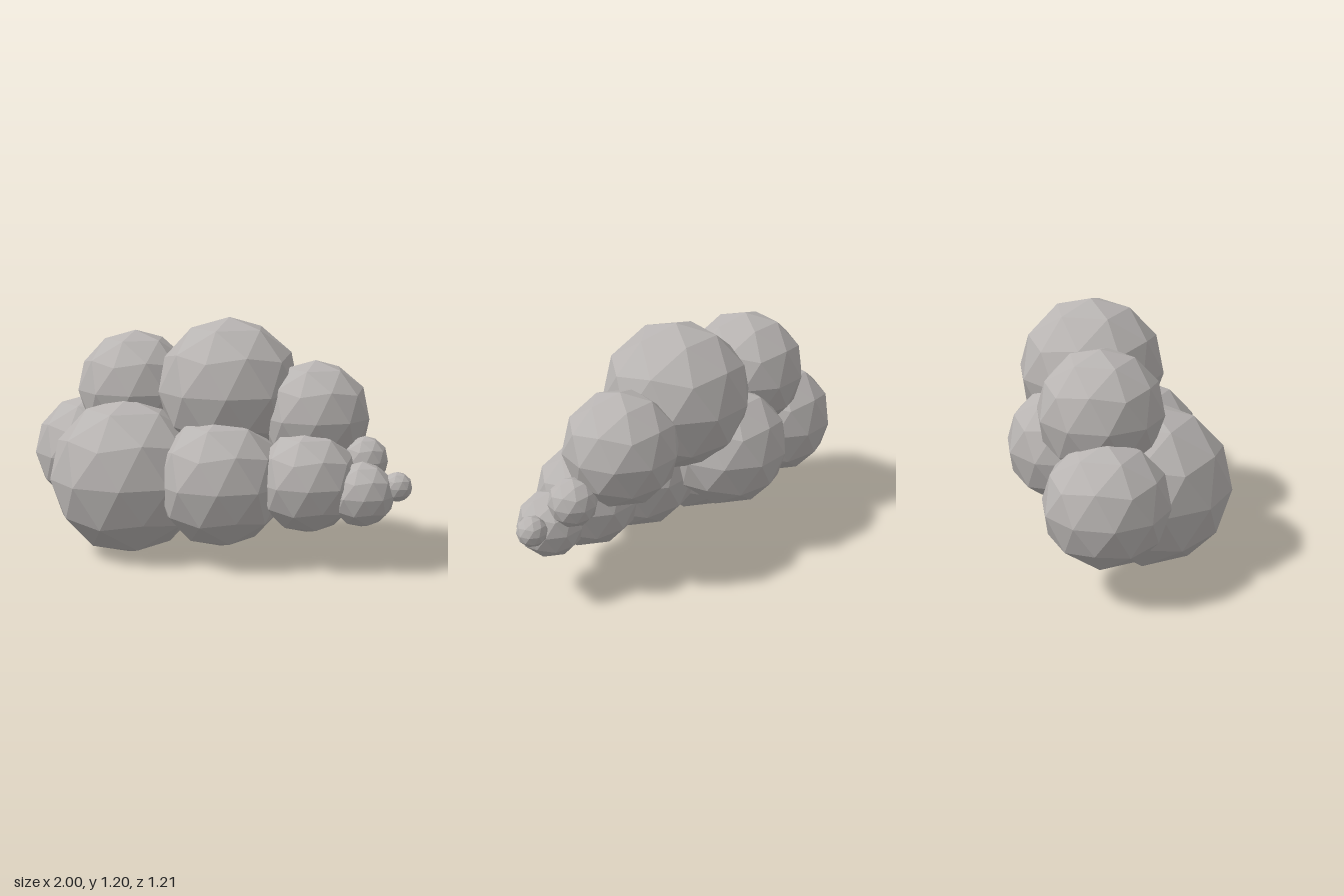
import * as THREE from 'three';

// Low-poly cloud: faceted puffs, each [name, x, y, z, radius]
const PUFFS = [
  ['frontPuff', -0.322, 0.4, 0.205, 0.4],
  ['frontMiddlePuff', 0.157, 0.41, 0.056, 0.327],
  ['frontLeftPuff', 0.537, 0.431, -0.149, 0.255],
  ['rightPuff', -0.714, 0.463, 0.068, 0.301],
  ['topPuff', 0.045, 0.835, -0.153, 0.366],
  ['topRightPuff', -0.459, 0.811, -0.007, 0.304],
  ['topLeftPuff', 0.452, 0.722, -0.326, 0.278],
  ['backPuff', -0.211, 0.536, -0.223, 0.304],
  ['tailPuff', 0.788, 0.386, -0.246, 0.16],
  ['tailUpperPuff', 0.727, 0.53, -0.359, 0.117],
  ['tailTipPuff', 0.928, 0.426, -0.338, 0.073],
];

export function createModel() {
  const cloud = new THREE.Group();
  cloud.name = 'cloud';

  const cloudGrey = new THREE.MeshStandardMaterial({ color: 0xb8b4b2, flatShading: true });
  cloudGrey.name = 'cloudGrey';

  // Unit puff turned so one corner points straight up and the upper ring of corners starts at +x
  const puff = new THREE.IcosahedronGeometry(1, 1);
  puff.rotateX(-Math.atan2((1 + Math.sqrt(5)) / 2, 1));
  puff.rotateY(Math.PI / 2);
  puff.computeVertexNormals();

  for (const [name, x, y, z, r] of PUFFS) {
    const mesh = new THREE.Mesh(puff, cloudGrey);
    mesh.name = name;
    mesh.position.set(x, y, z);
    mesh.scale.setScalar(r);
    cloud.add(mesh);
  }
  return cloud;
}
